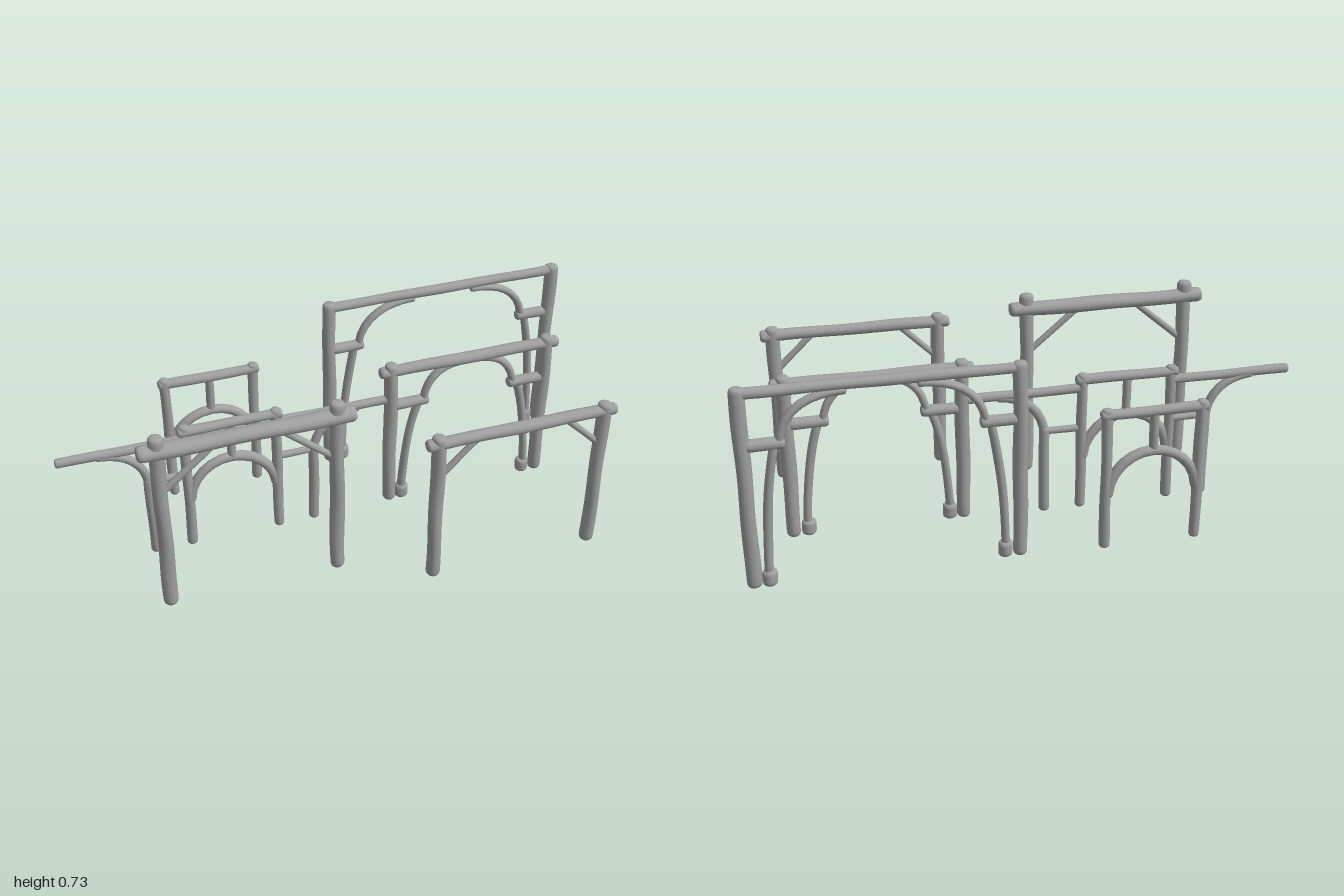
import * as THREE from 'three';

const stone = new THREE.MeshStandardMaterial({ color: 0xa0a0a0 });
stone.name = 'weathered grey';

let seed = 7;
const random = () => (seed = (seed * 16807) % 2147483647) / 2147483647;

// Rounded, slightly uneven log swept along a curve lying in the xy plane
function logGeometry(curve, radius, depth = radius) {
  const sides = 14, length = curve.getLength(), middle = Math.max(8, Math.round(length / 0.04));
  const end = Math.min(0.25, radius * 0.7 / length);
  const cap = [[0, 0], [0, 0.5], [0.12, 0.78], [0.45, 0.95], [1, 1]];
  const rings = cap.map(([u, s]) => [u * end, s]);
  for (let i = 1; i < middle; i++) rings.push([end + (1 - 2 * end) * i / middle, 1]);
  cap.slice().reverse().forEach(([u, s]) => rings.push([1 - u * end, s]));

  const phase = random() * 6.28, positions = [], index = [];
  rings.forEach(([u, s], i) => {
    const p = curve.getPointAt(u), t = curve.getTangentAt(u);
    const sway = Math.sin(u * length * 17 + phase) * radius * 0.06;
    for (let j = 0; j < sides; j++) {
      const a = j / sides * Math.PI * 2;
      const r = s * (1 + 0.035 * Math.sin(2 * a + u * length * 12 + phase));
      const n = Math.cos(a) * radius * r + sway;
      positions.push(p.x - t.y * n, p.y + t.x * n, p.z + Math.sin(a) * depth * r);
      if (i < rings.length - 1) {
        const k = (j + 1) % sides, A = i * sides, B = A + sides;
        index.push(A + j, A + k, B + j, A + k, B + k, B + j);
      }
    }
  });
  const g = new THREE.BufferGeometry();
  g.setAttribute('position', new THREE.Float32BufferAttribute(positions, 3));
  g.setIndex(index);
  g.computeVertexNormals();
  return g;
}

function addLog(group, name, curve, radius, depth) {
  const mesh = new THREE.Mesh(logGeometry(curve, radius, depth), stone);
  mesh.name = name;
  group.add(mesh);
}
const v = (x, y) => new THREE.Vector3(x, y, 0);
const line = (x0, y0, x1, y1) => new THREE.LineCurve3(v(x0, y0), v(x1, y1));
const bend = (...p) => new THREE.CubicBezierCurve3(...p.map(([x, y]) => v(x, y)));

// Two posts carrying a beam
function frame(name, z, o) {
  const g = new THREE.Group();
  g.name = name;
  g.position.z = z;
  for (const x of [o.left, o.right]) addLog(g, 'post', line(x, o.foot ?? 0.02, x, o.top), o.post);
  addLog(g, 'beam', line(o.left - o.over, o.beamY, o.right + o.over, o.beamY), o.beam, o.beamDepth);
  return g;
}

// Diagonal braces between posts and beam
function addBraces(g, o, low, high, near, far) {
  for (const [x, s] of [[o.left, 1], [o.right, -1]])
    addLog(g, 'brace', line(x + s * near, low, x + s * far, high), 0.012);
}

// Inner half arches: foot, leaning curved leg, bracket and upper curve
function addHalfArches(g, o, bracketY, reach, rise, inset) {
  for (const [x, s] of [[o.left, 1], [o.right, -1]]) {
    const X = d => x + s * d;
    addLog(g, 'foot', line(X(0.052), 0.02, X(0.052), 0.075), 0.025);
    addLog(g, 'curvedLeg', bend([X(0.05), 0.05], [X(0.055), bracketY * 0.5],
      [X(0.075), bracketY * 0.78], [X(inset - 0.025), bracketY]), 0.015, 0.017);
    addLog(g, 'bracket', line(X(0.01), bracketY, X(inset + 0.01), bracketY), 0.02, 0.022);
    addLog(g, 'archCurve', bend([X(inset - 0.01), bracketY], [X(inset), bracketY + rise * 0.65],
      [X(inset + reach * 0.4), bracketY + rise], [X(inset + reach), bracketY + rise]), 0.014, 0.017);
  }
}

// Small portal with a round arch and a king strut
function portal(name, z) {
  const o = { left: -0.552, right: -0.222, foot: 0.005, top: 0.53, post: 0.019,
    over: 0.024, beamY: 0.507, beam: 0.018, beamDepth: 0.02 };
  const g = frame(name, z, o), points = [];
  for (let i = 0; i <= 16; i++) {
    const a = Math.PI * (1 - i / 16);
    points.push(v(-0.387 + 0.158 * Math.cos(a), 0.2 + 0.16 * Math.sin(a)));
  }
  addLog(g, 'roundArch', new THREE.CatmullRomCurve3(points), 0.018);
  addLog(g, 'kingStrut', line(-0.387, 0.35, -0.387, 0.51), 0.016);
  return g;
}

export function createModel() {
  const model = new THREE.Group();
  model.name = 'logArches';

  // Tall frame with heavy overhanging beam
  const tall = { left: -0.7, right: -0.095, top: 0.73, post: 0.026,
    over: 0.065, beamY: 0.672, beam: 0.026, beamDepth: 0.033 };
  const a = frame('tallFrame', 0.225, tall);
  addBraces(a, tall, 0.51, 0.66, 0.015, 0.19);
  model.add(a);

  // Low frame with short braces
  const low = { left: 0.21, right: 0.815, top: 0.625, post: 0.025,
    over: 0.045, beamY: 0.594, beam: 0.021, beamDepth: 0.024 };
  const b = frame('lowFrame', 0.378, low);
  addBraces(b, low, 0.465, 0.59, 0.015, 0.145);
  model.add(b);

  // Matching frame with inner arches
  const c = frame('archedFrame', -0.075, low);
  addHalfArches(c, low, 0.447, 0.13, 0.135, 0.135);
  model.add(c);

  // Wide arched frame at the back
  const wide = { left: 0.075, right: 0.97, top: 0.73, post: 0.025,
    over: 0.02, beamY: 0.71, beam: 0.018, beamDepth: 0.02 };
  const d = frame('wideArchedFrame', -0.377, wide);
  addHalfArches(d, wide, 0.53, 0.21, 0.16, 0.125);
  model.add(d);

  // Two portals, the nearer one with side arms
  model.add(portal('backPortal', -0.38));
  const e = portal('middlePortal', -0.077);
  addLog(e, 'sideBeam', line(-1, 0.475, -0.54, 0.475), 0.017);
  addLog(e, 'sideBeam', line(-0.235, 0.475, 0.2, 0.475), 0.017);
  for (const s of [-1, 1]) {
    const X = d => -0.387 + s * d;
    addLog(e, 'outerPost', line(X(0.302), 0.005, X(0.302), 0.34), 0.019);
    addLog(e, 'crossRail', line(X(0.302), 0.322, X(0.16), 0.322), 0.013);
    addLog(e, 'curvedArm', bend([X(0.302), 0.3], [X(0.305), 0.4],
      [X(0.37), 0.465], [X(0.475), 0.47]), 0.016);
  }
  model.add(e);
  return model;
}
